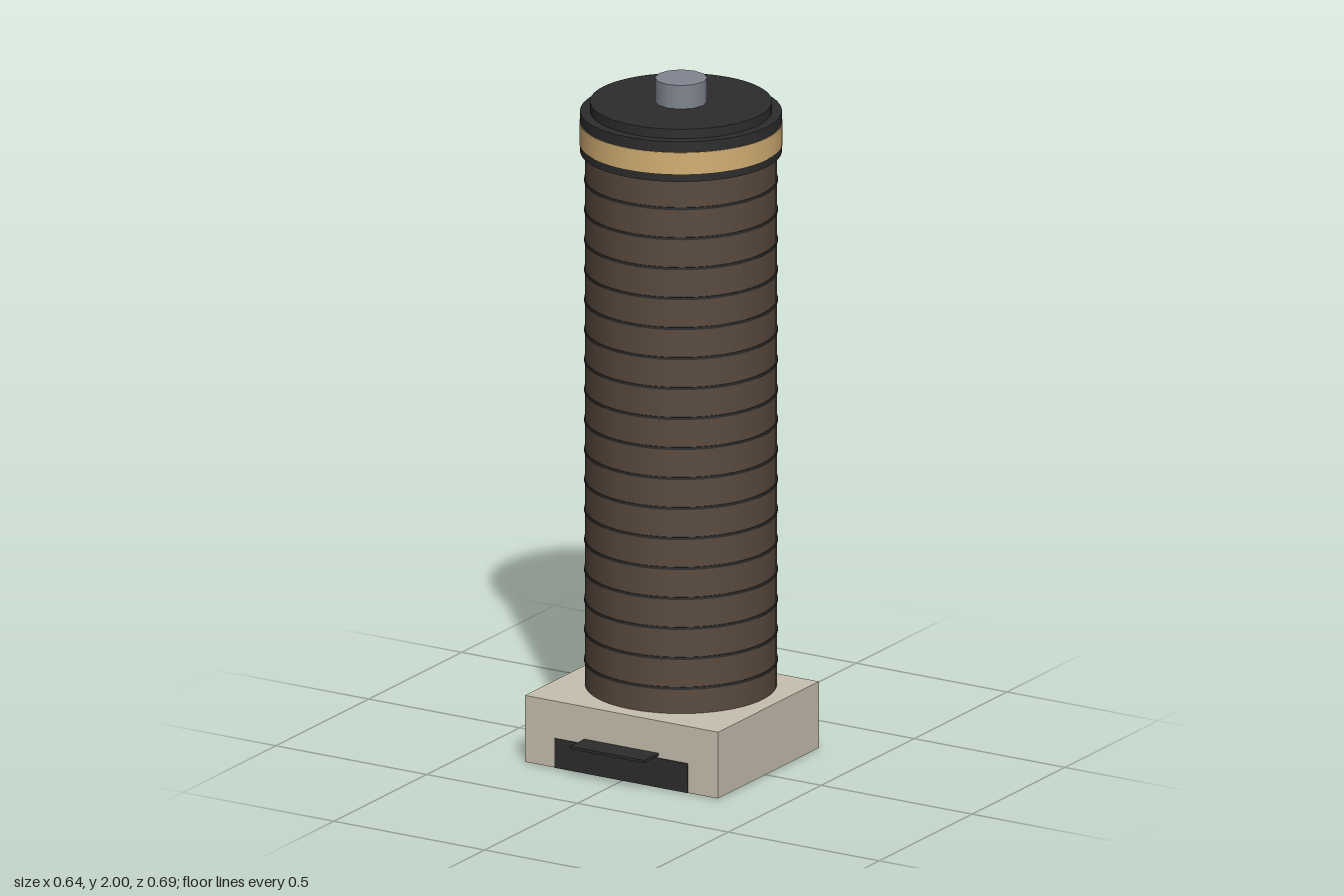
import * as THREE from 'three';

const mat = (name, color) => Object.assign(new THREE.MeshStandardMaterial({ color }), { name });

export function createModel() {
  const brown = mat('brown leather', 0x5a4a3e);
  const black = mat('matte black', 0x2d2d2d);
  const gold = mat('brass', 0xd4b074);
  const steel = mat('steel', 0x808690);
  const stone = mat('pale stone', 0xc8c0b0);

  const model = new THREE.Group();
  model.name = 'bandedColumn';
  const axisZ = -0.057;

  // Helpers: a disc between two heights on the column axis, and a box from its bounds
  const disc = (name, r, y0, y1, material, sides = 64) => {
    const m = new THREE.Mesh(new THREE.CylinderGeometry(r, r, y1 - y0, sides), material);
    m.position.set(0, (y0 + y1) / 2, axisZ);
    m.name = name;
    model.add(m);
  };
  const box = (name, halfX, y0, y1, z0, z1, material) => {
    const m = new THREE.Mesh(new THREE.BoxGeometry(halfX * 2, y1 - y0, z1 - z0), material);
    m.position.set(0, (y0 + y1) / 2, (z0 + z1) / 2);
    m.name = name;
    model.add(m);
  };

  // Square base; the column passes through it and shows at the back
  box('base', 0.32, 0.003, 0.2, -0.28, 0.263, stone);
  box('frontPlate', 0.221, 0.003, 0.09, 0.26, 0.266, black);
  box('frontTab', 0.123, 0.096, 0.104, 0.26, 0.341, black);

  // Column with dark end faces and evenly spaced grip bands
  disc('column', 0.271, 0, 1.79, [brown, black, black]);
  for (let i = 0; i < 19; i++) {
    const y = 0.097 + i * 0.089;
    disc('gripBand', 0.2735, y - 0.004, y + 0.004, black);
  }

  // Stepped cap with a brass ring and a steel pin
  disc('capRim', 0.285, 1.783, 1.902, black);
  disc('brassRing', 0.287, 1.806, 1.87, gold);
  disc('capTop', 0.257, 1.902, 1.93, black);
  disc('pin', 0.074, 1.93, 2, steel, 12);

  return model;
}
